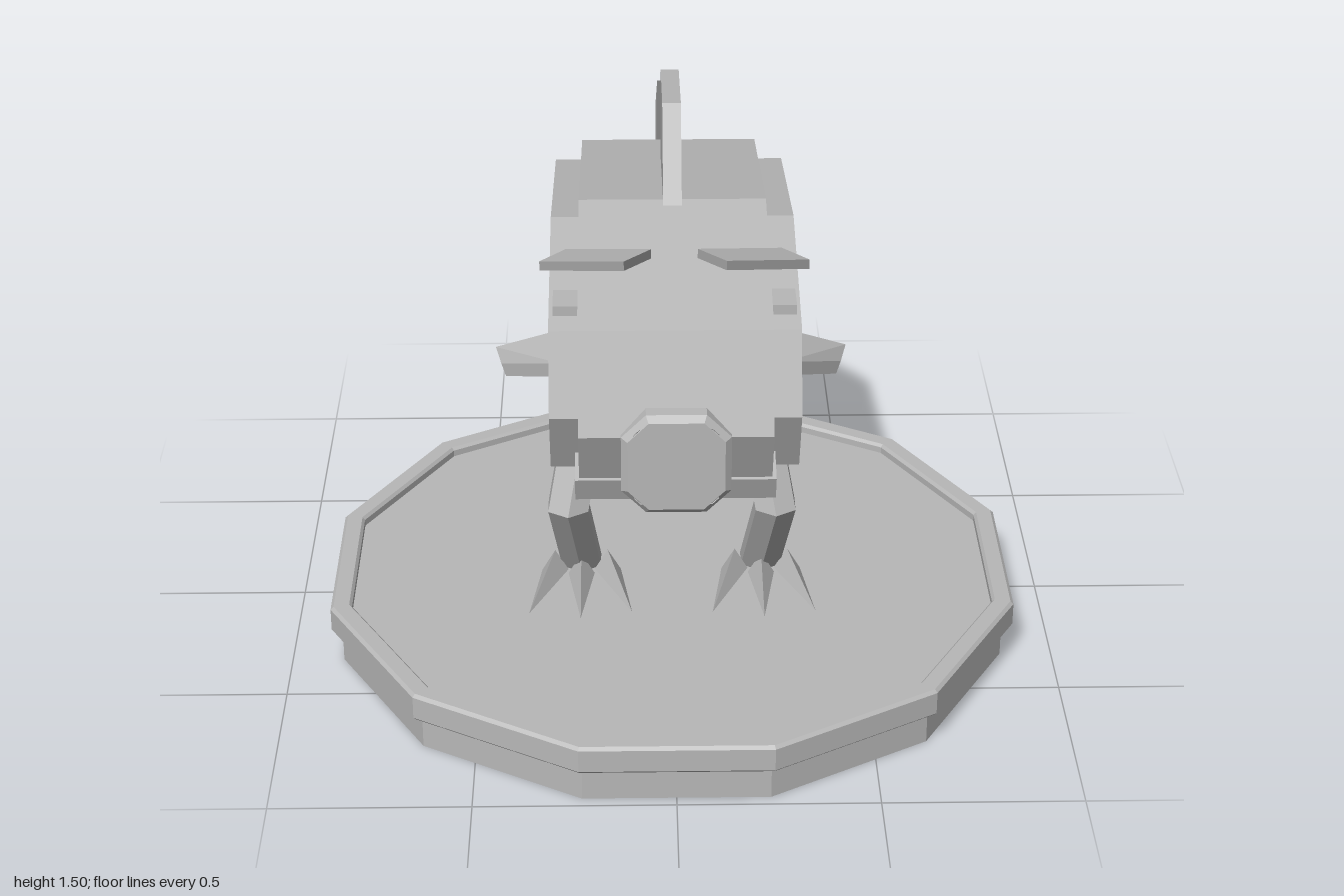
import * as THREE from 'three';
import { ConvexGeometry } from 'three/addons/geometries/ConvexGeometry.js';

const grey = new THREE.MeshStandardMaterial({ color: 0xb8b8b8 });
grey.name = 'plain grey';

export function createModel() {
  const model = new THREE.Group();
  model.name = 'walkingFish';

  function add(name, geometry, parent = model) {
    const flat = geometry.index ? geometry.toNonIndexed() : geometry;
    flat.computeVertexNormals();
    const mesh = new THREE.Mesh(flat, grey);
    mesh.name = name;
    parent.add(mesh);
    return mesh;
  }
  const outline = (points) => new THREE.Shape(points.map(([a, b]) => new THREE.Vector2(a, b)));
  // Side profile given as [z, y], thickened evenly to both sides of x = 0
  function slab(points, halfWidth) {
    const g = new THREE.ExtrudeGeometry(outline(points), { depth: halfWidth * 2, bevelEnabled: false });
    return g.translate(0, 0, -halfWidth).rotateY(-Math.PI / 2);
  }
  const hull = (points) => new ConvexGeometry(points.map((p) => new THREE.Vector3(...p)));
  // Plate with a given top face and an offset copy below it
  const plate = (top, [dx, dy, dz]) =>
    hull([...top, ...top.map(([x, y, z]) => [x + dx, y + dy, z + dz])]);

  // Twelve-sided stand with a raised rim around a recessed floor
  const k = 1 / Math.cos(Math.PI / 12);
  const rim = [[0, 0], [0.865, 0], [0.865, 0.09], [0.885, 0.09], [0.893, 0.098], [0.893, 0.158],
    [0.885, 0.166], [0.845, 0.166], [0.838, 0.158], [0.838, 0.14], [0, 0.14]]
    .map(([r, y]) => new THREE.Vector2(r * k, y));
  add('stand', new THREE.LatheGeometry(rim, 12, Math.PI / 12)).position.z = 0.105;

  // Body: tall narrow core, shorter wide flanks
  add('bodyCore', slab([[0.86, 0.945], [0.77, 1.18], [0.29, 1.3], [-0.37, 1.18],
    [-0.61, 0.98], [-0.37, 0.735], [0.29, 0.645], [0.77, 0.74]], 0.23));
  add('bodyFlanks', slab([[0.765, 0.945], [0.69, 1.14], [0.27, 1.245], [-0.32, 1.145],
    [-0.53, 0.97], [-0.32, 0.752], [0.27, 0.69], [0.69, 0.775]], 0.3));
  add('lowerLip', slab([[0.805, 0.8], [0.72, 0.83], [0.7, 0.77], [0.78, 0.735]], 0.24));

  // Mouth: chamfered frame around a flat panel
  const octagon = (h, c) => [[h, h - c], [h - c, h], [c - h, h], [-h, h - c],
    [-h, c - h], [c - h, -h], [h - c, -h], [h, c - h]];
  const frame = outline(octagon(0.115, 0.05));
  frame.holes.push(outline(octagon(0.1, 0.015)));
  const mouth = new THREE.Group();
  mouth.name = 'mouth';
  mouth.position.set(0, 0.88, 0.82);
  model.add(mouth);
  add('mouthFrame', new THREE.ExtrudeGeometry(frame, {
    depth: 0.05, bevelThickness: 0.015, bevelSize: 0.015, bevelSegments: 1,
  }), mouth);
  add('mouthPanel', new THREE.BoxGeometry(0.19, 0.19, 0.07), mouth).position.z = 0.015;

  // Dorsal fin, tail stem and tail fin
  add('dorsalFin', slab([[0.33, 1.27], [0.17, 1.505], [-0.13, 1.475], [-0.19, 1.24],
    [-0.19, 1.19], [0.29, 1.26]], 0.023));
  const stem = new THREE.CylinderGeometry(0.145, 0.08, 0.22, 6).rotateX(Math.PI / 2);
  add('tailStem', stem).position.set(0, 0.935, -0.56);
  add('tailFin', slab([[-0.58, 1.265], [-0.74, 0.935], [-0.58, 0.615], [-1, 0.85], [-1, 1.03]], 0.027));

  // Hexagonal leg section between two horizontal cross-sections
  const ring = ([x, y, z]) => Array.from({ length: 6 }, (_, i) => {
    const a = (i * Math.PI) / 3;
    return [x + 0.06 * Math.sin(a), y, z + 0.065 * Math.cos(a)];
  });
  const legSection = (top, bottom) => hull([...ring(top), ...ring(bottom)]);

  for (const [side, s] of [['left', 1], ['right', -1]]) {
    const m = (points) => points.map(([x, y, z]) => [x * s, y, z]);

    // Brow, eye and side fin
    add(side + 'Brow', plate(m([[0.055, 1.31, 0.6], [0.12, 1.33, 0.71],
      [0.32, 1.28, 0.6], [0.26, 1.26, 0.49]]), [0, -0.028, -0.008]));
    add(side + 'Eye', new THREE.BoxGeometry(0.09, 0.025, 0.09)).position.set(0.245 * s, 1.168, 0.595);
    add(side + 'Fin', plate(m([[0.28, 0.885, 0.17], [0.28, 0.845, 0.285],
      [0.44, 0.76, 0.115], [0.455, 0.785, 0.07]]), [-0.012 * s, -0.032, 0.01]));

    // Leg with three clawed toes
    const leg = new THREE.Group();
    leg.name = side + 'Leg';
    model.add(leg);
    const [hip, knee, ankle] = m([[0.2, 0.76, 0.07], [0.27, 0.4, 0.23], [0.24, 0.14, 0.07]]);
    add('thigh', legSection(hip, knee), leg);
    add('shin', legSection(knee, ankle), leg);
    for (const t of [-1, 0, 1]) {
      const x = 0.24 * s + t * 0.07, z = t ? 0.12 : 0.14;
      add('toe', hull([[x - 0.035, 0.14, z], [x + 0.035, 0.14, z], [x, 0.2, z],
        [0.24 * s + t * 0.135, 0.142, t ? 0.345 : 0.37]]), leg);
    }
  }
  return model;
}
